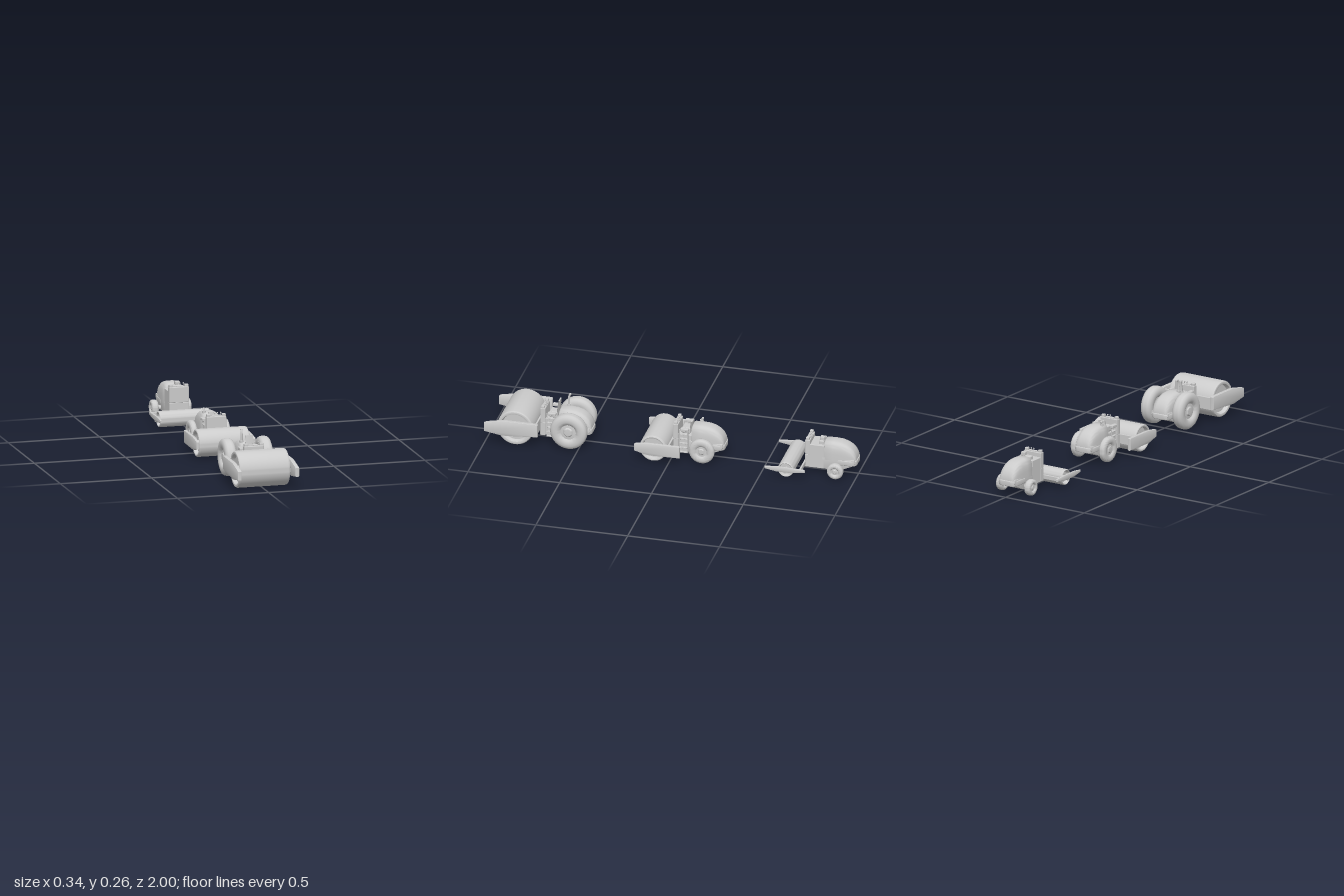
import * as THREE from 'three';
import { toCreasedNormals } from 'three/addons/utils/BufferGeometryUtils.js';
import { RoundedBoxGeometry } from 'three/addons/geometries/RoundedBoxGeometry.js';

const grey = new THREE.MeshStandardMaterial({ color: 0xcccccc });

function add(parent, name, geometry, x = 0, y = 0, z = 0) {
  const mesh = new THREE.Mesh(geometry, grey);
  mesh.name = name;
  mesh.position.set(x, y, z);
  parent.add(mesh);
  return mesh;
}
const box = (w, h, d, r = 0.003) => new RoundedBoxGeometry(w, h, d, 2, Math.min(r, w / 2.1, h / 2.1, d / 2.1));
const rod = (r, h, n = 16) => new THREE.CylinderGeometry(r, r, h, n);

// Turned part about the x axis; points are [radius, x] from -x to +x
function turned(points, segments = 48) {
  const g = new THREE.LatheGeometry(points.map(p => new THREE.Vector2(...p)), segments);
  g.rotateZ(-Math.PI / 2);
  return toCreasedNormals(g, 0.6);
}
const mirrored = half => [...half.map(([r, x]) => [r, -x]), ...half.slice().reverse()];

// Side profile of [z, y] points, extruded across x with a small bevel
function sidePlate(points, width, bevel = 0.003) {
  const shape = new THREE.Shape(points.map(p => new THREE.Vector2(...p)));
  const g = new THREE.ExtrudeGeometry(shape, {
    depth: width - 2 * bevel, bevelThickness: bevel, bevelSize: bevel, bevelOffset: -bevel, bevelSegments: 2 });
  g.translate(0, 0, bevel - width / 2);
  g.rotateY(-Math.PI / 2);
  return toCreasedNormals(g, 0.5);
}

// Domed engine cover lofted from arched sections: [z, half width, top y]
function bonnetGeometry() {
  const base = 0.085, n = 20;
  const rows = [[-0.1, 0.0001, base + 0.0001], [-0.1, 0.049, 0.179], [-0.106, 0.053, 0.185], [-0.15, 0.054, 0.187],
    [-0.19, 0.054, 0.184], [-0.22, 0.053, 0.175], [-0.243, 0.051, 0.161], [-0.26, 0.048, 0.143],
    [-0.271, 0.043, 0.122], [-0.276, 0.04, 0.1], [-0.276, 0.0001, base + 0.0001]];
  const pos = [], idx = [];
  rows.forEach(([z, w, top], i) => {
    for (let j = 0; j <= n; j++) {
      const a = Math.PI * j / n, c = Math.cos(a), s = Math.max(0, Math.sin(a));
      pos.push(w * Math.sign(c) * Math.abs(c) ** 0.55, base + (top - base) * s ** 0.55, z);
      if (i && j) {
        const q = i * (n + 1) + j, p = q - n - 1;
        idx.push(p - 1, q - 1, p, p, q - 1, q);
      }
    }
  });
  const g = new THREE.BufferGeometry();
  g.setAttribute('position', new THREE.Float32BufferAttribute(pos, 3));
  g.setIndex(idx);
  return toCreasedNormals(g, 0.8);
}

// Rounded band round the tail, drawn in plan
function bumperGeometry() {
  const s = new THREE.Shape();
  s.moveTo(-0.055, 0.18);
  s.lineTo(0.055, 0.18);
  s.lineTo(0.055, 0.25);
  s.quadraticCurveTo(0.053, 0.28, 0.025, 0.28);
  s.lineTo(-0.025, 0.28);
  s.quadraticCurveTo(-0.053, 0.28, -0.055, 0.25);
  const g = new THREE.ExtrudeGeometry(s, { depth: 0.022, bevelSize: 0.004, bevelOffset: -0.004, bevelThickness: 0.004, bevelSegments: 3 });
  g.rotateX(-Math.PI / 2);
  return toCreasedNormals(g, 0.6);
}

function makeRoller(o) {
  const roller = new THREE.Group();
  roller.name = o.name;
  roller.position.z = o.front;

  // Drum with recessed ends
  const R = o.drumR;
  add(roller, 'drum', turned(mirrored([[0, 0.118], [R * 0.76, 0.118], [R * 0.82, 0.138], [R * 0.9, 0.14],
    [R * 0.96, 0.138], [R * 0.99, 0.134], [R, 0.128]]), 64), 0, R, o.drumZ);
  add(roller, 'drumAxle', rod(R * 0.2, 0.3).rotateZ(Math.PI / 2), 0, R, o.drumZ);

  // Side arms joined by a crossbar behind the drum
  for (const s of [1, -1]) {
    add(roller, 'sideArm', sidePlate(o.arm, o.armWidth, 0.005), s * o.armX, 0, 0);
    add(roller, 'armBearing', rod(R * 0.35, 0.016, 24).rotateZ(Math.PI / 2), s * (o.armX - o.armWidth / 2), R, o.drumZ);
  }
  add(roller, 'crossbar', box(o.armX * 2, o.barH, 0.01), 0, o.barY, 0.001);

  // Rear wheels: tyre, dished rim and hub cap in one profile
  const r = o.wheelR, w = o.wheelW / 2;
  const tyre = mirrored([[0, w * 0.85], [r * 0.2, w * 0.8], [r * 0.26, w * 0.6], [r * 0.42, w * 0.55],
    [r * 0.5, w * 0.85], [r * 0.62, w], [r * 0.78, w * 0.98], [r * 0.91, w * 0.83], [r * 0.98, w * 0.55], [r, w * 0.2]]);
  for (const s of [1, -1]) add(roller, 'rearWheel', turned(tyre), s * o.wheelX, r, o.wheelZ);
  add(roller, 'rearAxle', rod(0.012, o.wheelX * 2).rotateZ(Math.PI / 2), 0, r, o.wheelZ);

  // Hull, engine cover and tail band
  add(roller, 'lowerBody', sidePlate([[-0.09, 0.03], [-0.19, 0.03], [-0.26, 0.062], [-0.273, 0.08], [-0.27, 0.1], [-0.09, 0.1]], 0.106));
  add(roller, 'engineCover', bonnetGeometry());
  add(roller, 'tailBumper', bumperGeometry(), 0, 0.066, 0);

  // Cab front: console wall with low cheeks
  add(roller, 'frontPanel', box(0.108, 0.075, 0.028), 0, 0.068, -0.015);
  add(roller, 'console', box(0.108, 0.085, 0.028, 0.004), 0, 0.147, -0.015);
  for (const s of [1, -1]) add(roller, 'consoleHorn', box(0.02, 0.02, 0.018), s * 0.042, 0.192, -0.014);
  add(roller, 'consoleScreen', box(0.05, 0.008, 0.016), 0, 0.191, -0.018);

  if (o.closedCab) {
    add(roller, 'cabBody', box(0.106, 0.135, 0.085), 0, 0.0975, -0.062);
    add(roller, 'seat', box(0.07, 0.025, 0.03, 0.006), 0, 0.172, -0.085);
    add(roller, 'controlBox', box(0.026, 0.02, 0.024), 0.013, 0.192, -0.088);
  } else {
    add(roller, 'cabFloor', box(0.09, 0.1, 0.085), 0, 0.08, -0.062);
    add(roller, 'seat', box(0.06, 0.035, 0.048, 0.008), 0, 0.146, -0.066);
    for (const s of [1, -1]) {
      add(roller, 'armrest', box(0.022, 0.016, 0.045, 0.004), s * 0.055, 0.165, -0.066);
      // Boarding ladder: two rails and their rungs
      for (const z of [-0.038, -0.082]) add(roller, 'ladderRail', rod(0.003, 0.135, 8), s * 0.053, 0.095, z);
      for (let i = 0; i < 5; i++) add(roller, 'ladderRung', box(0.014, 0.005, 0.046, 0.001), s * 0.05, 0.03 + i * 0.026, -0.06);
    }
    const back = add(roller, 'seatBack', new THREE.CylinderGeometry(0.022, 0.03, o.backH, 4, 1)
      .rotateY(Math.PI / 4).scale(1.2, 1, 0.22), 0, 0.16 + o.backH / 2, -0.092);
    back.rotation.x = -0.1;
  }

  // Control levers on the console
  for (const x of [-0.006, 0.01, 0.028]) {
    add(roller, 'lever', rod(0.0015, 0.016, 8), x, 0.198, -0.022);
    add(roller, 'leverKnob', new THREE.SphereGeometry(0.004, 12, 8), x, 0.205, -0.022);
  }

  // Exhaust pipe on the engine cover
  if (o.pipeTop) {
    const path = new THREE.CatmullRomCurve3([[0.16, -0.138], [o.pipeTop - 0.016, -0.138], [o.pipeTop, -0.144]]
      .map(([y, z]) => new THREE.Vector3(-0.03, y, z)));
    add(roller, 'exhaustPipe', new THREE.TubeGeometry(path, 12, 0.006, 12));
    add(roller, 'exhaustCap', new THREE.SphereGeometry(0.006, 12, 8), -0.03, o.pipeTop, -0.144);
    add(roller, 'exhaustCollar', rod(0.01, 0.012), -0.03, 0.186, -0.138);
  }
  return roller;
}

export function createModel() {
  const model = new THREE.Group();
  model.name = 'roadRollers';
  model.add(makeRoller({
    name: 'largeRoller', front: 0.723, drumR: 0.098, drumZ: 0.115, armX: 0.158, armWidth: 0.023, barY: 0.1, barH: 0.07,
    arm: [[0.277, 0.075], [0.277, 0.122], [0.265, 0.128], [0.17, 0.147], [-0.01, 0.147], [-0.015, 0.142], [-0.015, 0.073], [0.16, 0.06], [0.185, 0.06]],
    wheelR: 0.1, wheelW: 0.064, wheelX: 0.1, wheelZ: -0.17, backH: 0.068, pipeTop: 0.25 }));
  model.add(makeRoller({
    name: 'mediumRoller', front: 0, drumR: 0.074, drumZ: 0.086, armX: 0.155, armWidth: 0.017, barY: 0.078, barH: 0.055,
    arm: [[0.183, 0.062], [0.183, 0.1], [0.175, 0.105], [0.1, 0.114], [-0.06, 0.114], [-0.065, 0.11], [-0.065, 0.045], [0.1, 0.043], [0.12, 0.045]],
    wheelR: 0.069, wheelW: 0.037, wheelX: 0.09, wheelZ: -0.168, backH: 0.035, pipeTop: 0.202 }));
  model.add(makeRoller({
    name: 'smallRoller', front: -0.72, drumR: 0.043, drumZ: 0.083, armX: 0.154, armWidth: 0.012, barY: 0.052, barH: 0.024,
    arm: [[0.194, 0.047], [0.194, 0.06], [0.13, 0.067], [-0.022, 0.063], [-0.026, 0.058], [-0.026, 0.045], [0.05, 0.036], [0.13, 0.036]],
    wheelR: 0.044, wheelW: 0.037, wheelX: 0.09, wheelZ: -0.175, closedCab: true }));
  return model;
}
